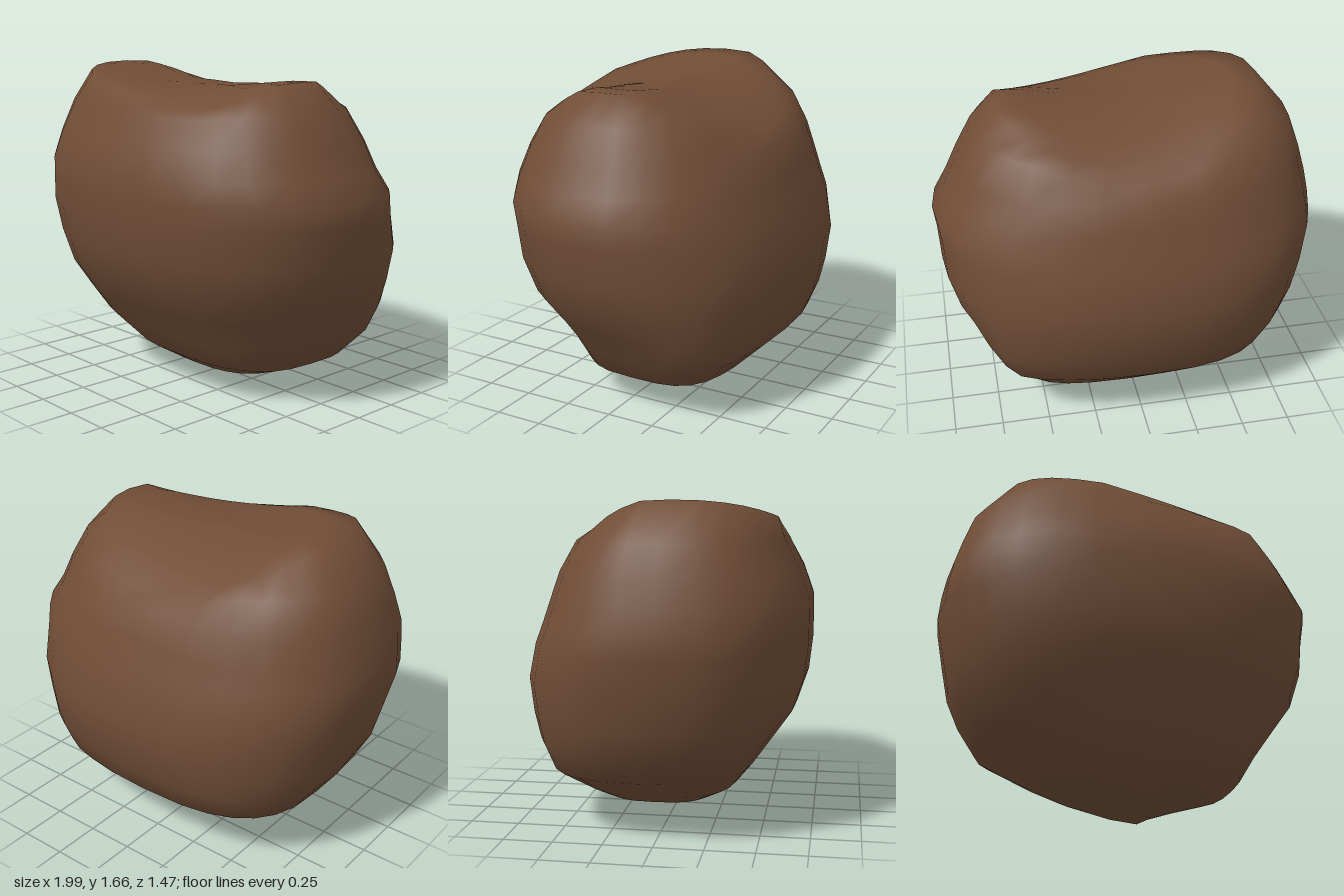
import * as THREE from 'three';

const SEGMENTS = 28;

// Cross-sections from bottom to top: height, min x, max x, min z, max z, squareness
const LEVELS = [
  [0.02, -0.06, 0.22, -0.27, 0.06, 2.4],
  [0.09, -0.31, 0.43, -0.36, 0.22, 2.7],
  [0.17, -0.48, 0.63, -0.47, 0.35, 2.8],
  [0.31, -0.74, 0.72, -0.62, 0.45, 2.6],
  [0.45, -0.84, 0.82, -0.68, 0.55, 2.4],
  [0.59, -0.91, 0.92, -0.715, 0.65, 2.3],
  [0.77, -0.95, 0.975, -0.735, 0.71, 2.3],
  [0.95, -0.99, 0.985, -0.69, 0.73, 2.3],
  [1.06, -0.98, 1.0, -0.65, 0.73, 2.3],
  [1.17, -0.96, 0.93, -0.61, 0.73, 2.3],
  [1.31, -0.92, 0.865, -0.56, 0.68, 2.3],
  [1.47, -0.865, 0.78, -0.47, 0.6, 2.3],
];

// Saddle-shaped top: raised at both sides, falling away at the back
// and at one front corner
function topHeight(x, z) {
  return 1.58 + 0.17 * x * x - 0.03 * x
    - 0.38 * (1 - 0.8 * x * x) * Math.max(0, -0.05 - z)
    - 0.5 * Math.max(0, z - 0.2) * Math.max(0, x + 0.2);
}

// Rounded-box outline through the four extents, slightly squarer on one side
function outline(x0, x1, z0, z1, angle, squareness) {
  const power = squareness + (Math.cos(angle) < 0 ? 0.2 : 0);
  const soft = (v) => Math.sign(v) * Math.pow(Math.abs(v), 2 / power);
  return [
    (x0 + x1) / 2 + ((x1 - x0) / 2) * soft(Math.cos(angle)),
    (z0 + z1) / 2 + ((z1 - z0) / 2) * soft(Math.sin(angle)),
  ];
}

// Local swelling low on the back corner
function swell(x, y, z) {
  const d = (x - 0.62) ** 2 + (y - 0.38) ** 2 + (z + 0.42) ** 2;
  const k = 0.06 * Math.exp(-d / 0.05);
  return [x + 0.8 * k, y - 0.3 * k, z - 0.6 * k];
}

function boulderGeometry() {
  const positions = [0.15, 0, -0.24];
  const index = [];
  const addRing = (x0, x1, z0, z1, squareness, height) => {
    for (let j = 0; j < SEGMENTS; j++) {
      const [x, z] = outline(x0, x1, z0, z1, (j / SEGMENTS) * Math.PI * 2, squareness);
      positions.push(...swell(x, height(x, z), z));
    }
  };

  // Sides, kept just under the sloping top
  for (const [y, x0, x1, z0, z1, squareness] of LEVELS) {
    addRing(x0, x1, z0, z1, squareness, (x, z) => Math.min(y, topHeight(x, z) - 0.05));
  }

  // Cap rings shrinking towards the middle of the top
  for (const s of [1, 0.8, 0.5, 0.22]) {
    const drop = s === 1 ? 0.02 : 0;
    addRing(-0.02 - 0.68 * s, -0.02 + 0.67 * s, 0.08 - 0.48 * s, 0.08 + 0.48 * s, 2.3,
      (x, z) => topHeight(x, z) - drop);
  }
  positions.push(-0.02, topHeight(-0.02, 0.08), 0.08);

  // Faces: bottom fan, bands, top fan
  const rings = LEVELS.length + 4;
  const at = (i, j) => 1 + i * SEGMENTS + (j % SEGMENTS);
  const tip = 1 + rings * SEGMENTS;
  for (let j = 0; j < SEGMENTS; j++) {
    index.push(0, at(0, j), at(0, j + 1));
    for (let i = 0; i < rings - 1; i++) {
      const a = at(i, j), b = at(i, j + 1), c = at(i + 1, j), d = at(i + 1, j + 1);
      index.push(a, c, b, b, c, d);
    }
    index.push(at(rings - 1, j), tip, at(rings - 1, j + 1));
  }

  const geometry = new THREE.BufferGeometry();
  geometry.setAttribute('position', new THREE.Float32BufferAttribute(positions, 3));
  geometry.setIndex(index);
  geometry.computeVertexNormals();
  return geometry;
}

export function createModel() {
  const group = new THREE.Group();
  group.name = 'boulder';
  const brown = new THREE.MeshStandardMaterial({ color: 0x704d36 });
  brown.name = 'earth brown';
  const body = new THREE.Mesh(boulderGeometry(), brown);
  body.name = 'boulderBody';
  group.add(body);
  return group;
}
